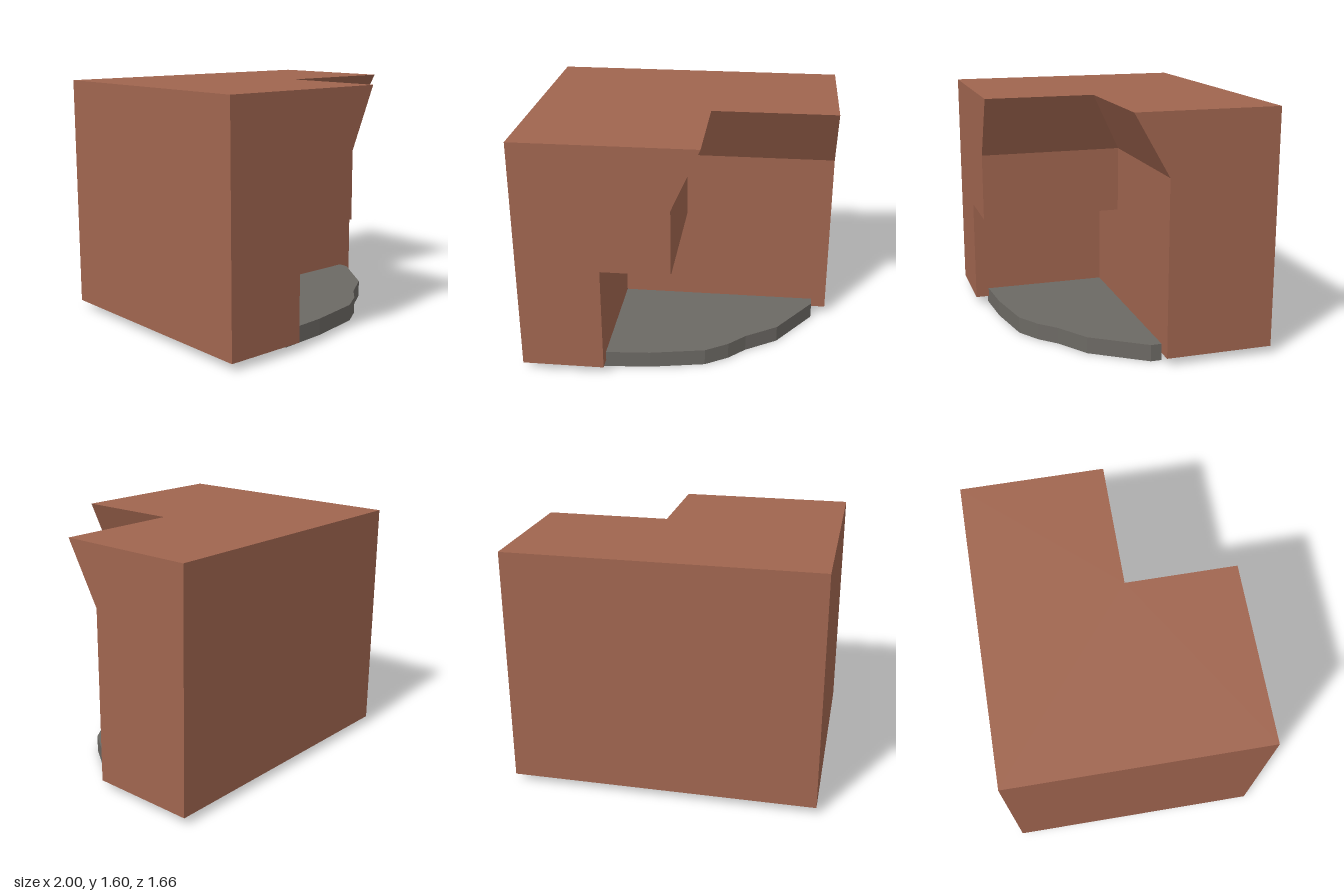
import * as THREE from 'three';

const brick = new THREE.MeshStandardMaterial({ color: 0xa0654f });
brick.name = 'terracotta';
const stone = new THREE.MeshStandardMaterial({ color: 0x6c6964 });
stone.name = 'stone grey';

// Planar faces, each a counter-clockwise outline fanned from its first corner.
function fromFaces(faces) {
  const pos = [];
  for (const f of faces)
    for (let i = 1; i < f.length - 1; i++) pos.push(...f[0], ...f[i], ...f[i + 1]);
  const g = new THREE.BufferGeometry();
  g.setAttribute('position', new THREE.Float32BufferAttribute(pos, 3));
  g.computeVertexNormals();
  return g;
}
const atX = (x, pts) => pts.map(([z, y]) => [x, y, z]);
const atY = (y, pts) => pts.map(([x, z]) => [x, y, z]);
const atZ = (z, pts) => pts.map(([x, y]) => [x, y, z]);

// Block with a stepped corner recess under a sloping overhang
function buildingBlock() {
  const D = 0.83;                          // half depth
  const y0 = 0.05, y1 = 0.76, y2 = 1.2, y3 = 1.6;
  const xa = -0.46, xb = -0.01, xc = 0.17; // recess side: low, middle, top
  const za = -0.12, zc = 0.11;             // recess back: wall, top
  return fromFaces([
    // outer shell
    atY(y3, [[xc, zc], [1, zc], [1, -D], [-1, -D], [-1, D], [xc, D]]),
    atY(y0, [[xa, za], [xa, D], [-1, D], [-1, -D], [1, -D], [1, za]]),
    atZ(D, [[xa, y1], [xb, y1], [xb, y2], [xc, y3], [-1, y3], [-1, y0], [xa, y0]]),
    atZ(-D, [[-1, y0], [-1, y3], [1, y3], [1, y0]]),
    atX(1, [[za, y2], [za, y0], [-D, y0], [-D, y3], [zc, y3]]),
    atX(-1, [[-D, y0], [D, y0], [D, y3], [-D, y3]]),
    // recess walls and ceiling
    atZ(za, [[xb, y1], [xa, y1], [xa, y0], [1, y0], [1, y2], [xb, y2]]),
    atX(xa, [[D, y0], [za, y0], [za, y1], [D, y1]]),
    atX(xb, [[D, y1], [za, y1], [za, y2], [D, y2]]),
    atY(y1, [[xa, za], [xb, za], [xb, D], [xa, D]]),
    // sloping overhangs
    [[xb, y2, D], [xb, y2, za], [xc, y3, zc], [xc, y3, D]],
    [[xb, y2, za], [1, y2, za], [1, y3, zc], [xc, y3, zc]],
  ]);
}

// Low paved step with a faceted, irregular front edge
function entranceStep() {
  const outline = [
    [-0.46, -0.12], [-0.49, 0.74], [-0.17, 0.715], [0.19, 0.645], [0.34, 0.55],
    [0.45, 0.44], [0.66, 0.3], [0.9, -0.05], [0.9, -0.12],
  ];
  const shape = new THREE.Shape(outline.map(([x, z]) => new THREE.Vector2(x, -z)));
  const g = new THREE.ExtrudeGeometry(shape, { depth: 0.11, bevelEnabled: false });
  return g.rotateX(-Math.PI / 2);
}

export function createModel() {
  const model = new THREE.Group();
  model.name = 'cornerBuilding';
  const add = (name, geometry, material) => {
    const mesh = new THREE.Mesh(geometry, material);
    mesh.name = name;
    model.add(mesh);
  };
  add('buildingBlock', buildingBlock(), brick);
  add('entranceStep', entranceStep(), stone);
  return model;
}
